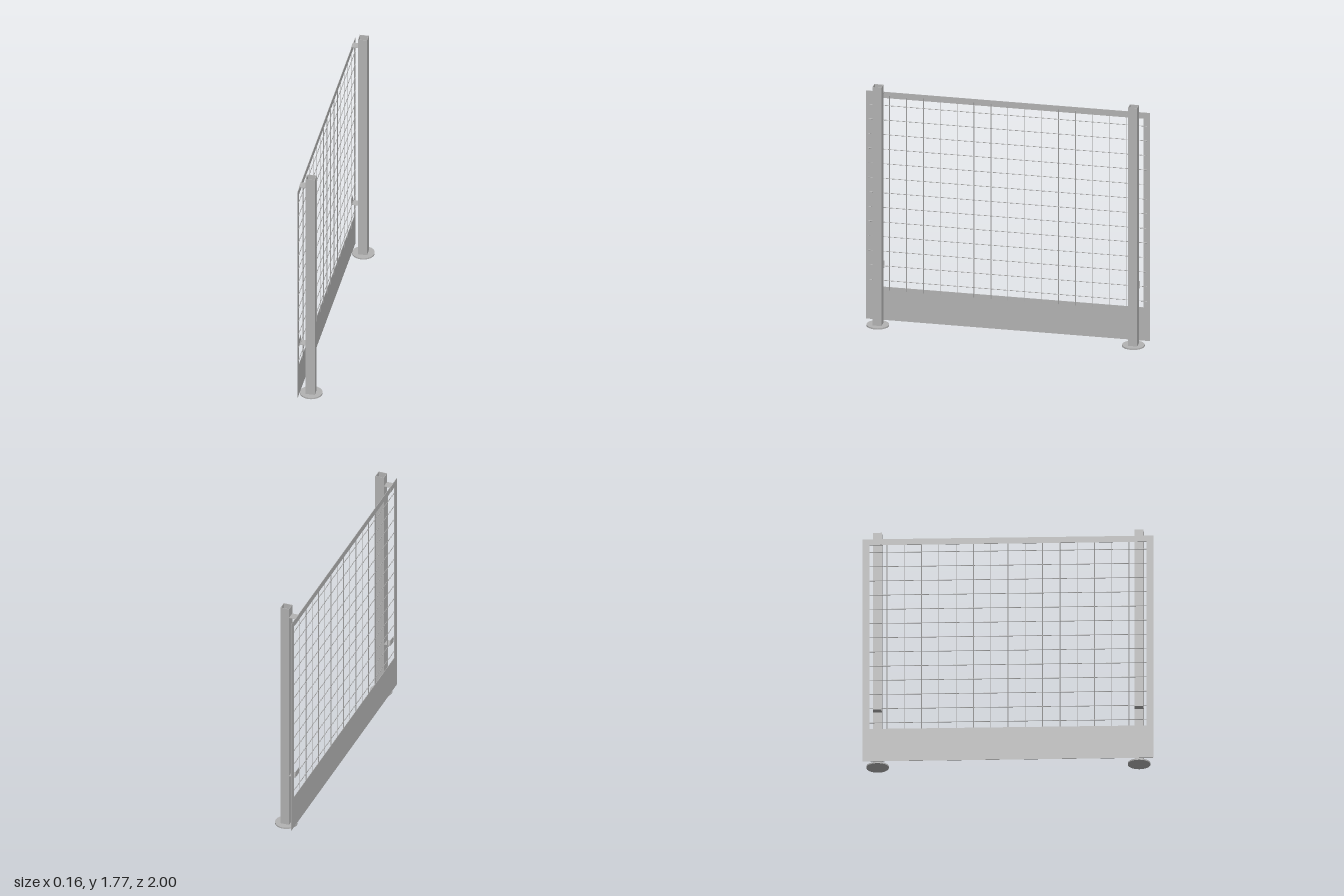
import * as THREE from 'three';

const steel = new THREE.MeshStandardMaterial({ color: 0xb2b2b2 });
steel.name = 'galvanised grey';

function add(parent, name, geometry, x = 0, y = 0, z = 0) {
  const mesh = new THREE.Mesh(geometry, steel);
  mesh.name = name;
  mesh.position.set(x, y, z);
  parent.add(mesh);
  return mesh;
}

// Rectangle outline, usable as a shape or as a hole
function rect(target, x0, y0, x1, y1) {
  target.moveTo(x0, y0);
  target.lineTo(x1, y0);
  target.lineTo(x1, y1);
  target.lineTo(x0, y1);
  target.closePath();
  return target;
}

function framed(outer, inner, depth) {
  const shape = rect(new THREE.Shape(), ...outer);
  shape.holes.push(rect(new THREE.Path(), ...inner));
  return new THREE.ExtrudeGeometry(shape, { depth, bevelEnabled: false });
}

// Hollow square post on a round foot, with two angle brackets
function makePost(z) {
  const post = new THREE.Group();
  post.name = 'post';
  post.position.z = z;

  const h = 0.032, w = 0.028;
  const tube = framed([-h, -h, h, h], [-w, -w, w, w], 1.76);
  tube.rotateX(-Math.PI / 2);
  add(post, 'postTube', tube, 0, 0.01, 0);
  add(post, 'footPlate', new THREE.CylinderGeometry(0.078, 0.078, 0.01, 32), 0, 0.005, 0);

  for (const [name, y, dir] of [['upperBracket', 1.7, -1], ['lowerBracket', 0.408, 1]]) {
    const bracket = new THREE.Group();
    bracket.name = name;
    add(bracket, 'bracketShelf', new THREE.BoxGeometry(0.048, 0.003, 0.06), -0.055, y, 0);
    add(bracket, 'bracketFlange', new THREE.BoxGeometry(0.002, 0.045, 0.06), -0.079, y + dir * 0.021, 0);
    post.add(bracket);
  }
  return post;
}

export function createModel() {
  const model = new THREE.Group();
  model.name = 'meshFencePanel';

  // Posts
  for (const z of [-0.9, 0.9]) model.add(makePost(z));

  // Sheet frame with a deep kick plate
  const panel = new THREE.Group();
  panel.name = 'panel';
  const sheet = framed([-1, 0.015, 1, 1.7], [-0.955, 0.26, 0.955, 1.655], 0.003);
  sheet.rotateY(-Math.PI / 2);
  add(panel, 'sheetFrame', sheet, -0.0745, 0, 0);

  // Wire mesh welded to the inner face of the sheet
  const r = 0.0026;
  const upright = new THREE.CylinderGeometry(r, r, 1.44, 6);
  for (let i = -7; i <= 7; i++) add(panel, 'uprightWire', upright, -0.072, 0.955, i * 0.119);

  const cross = new THREE.CylinderGeometry(r, r, 1.96, 6);
  cross.rotateX(Math.PI / 2);
  for (let i = 0; i < 13; i++) add(panel, 'crossWire', cross, -0.0725, 0.308 + i * 0.1078, 0);

  model.add(panel);
  return model;
}
